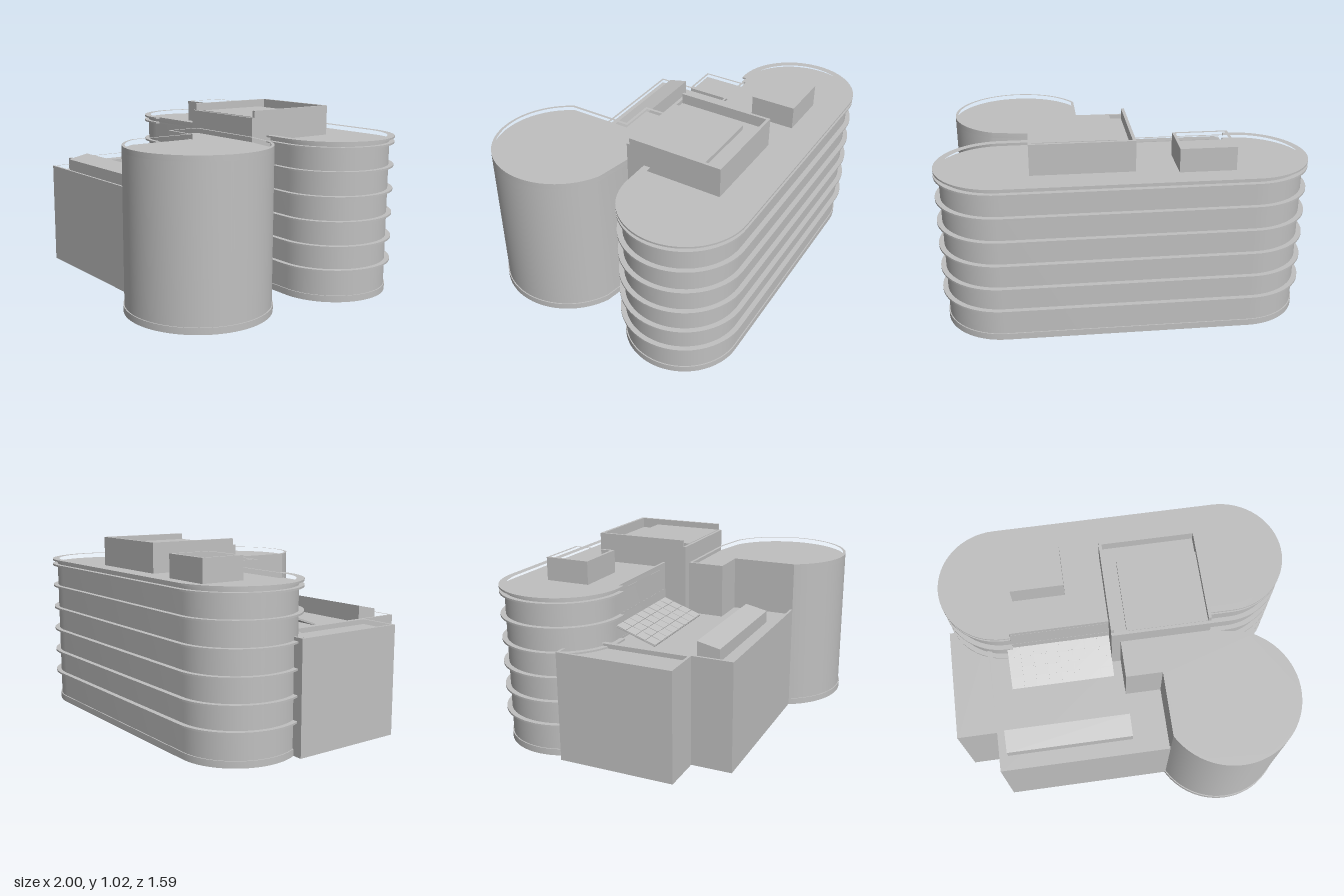
import * as THREE from 'three';
import { toCreasedNormals } from 'three/addons/utils/BufferGeometryUtils.js';

export function createModel() {
  const model = new THREE.Group();
  model.name = 'officeBuilding';
  const concrete = new THREE.MeshStandardMaterial({ color: 0xc0c0c0 });
  concrete.name = 'concrete grey';

  function add(name, geometry, parent = model) {
    const mesh = new THREE.Mesh(geometry, concrete);
    mesh.name = name;
    parent.add(mesh);
    return mesh;
  }

  // Upright prism from a plan outline of [x, z] points, with an optional hole
  function prism(name, outline, y0, y1, hole) {
    const toPlan = (pts) => pts.map(([x, z]) => new THREE.Vector2(x, -z));
    const shape = new THREE.Shape(toPlan(outline));
    if (hole) shape.holes.push(new THREE.Path(toPlan(hole)));
    const geo = new THREE.ExtrudeGeometry(shape, { depth: y1 - y0, bevelEnabled: false });
    geo.rotateX(-Math.PI / 2).translate(0, y0, 0);
    return add(name, toCreasedNormals(geo, 0.5));
  }

  // Solid block topped by a parapet around a sunken roof
  function tray(name, outline, inner, y0, roofY, topY) {
    prism(name + 'Walls', outline, y0, roofY);
    prism(name + 'Parapet', outline, roofY, topY, inner);
  }

  const rect = (x0, x1, z0, z1, t = 0) =>
    [[x0 + t, z0 + t], [x1 - t, z0 + t], [x1 - t, z1 - t], [x0 + t, z1 - t]];

  function arc(cx, cz, r, a0, a1, n = 32) {
    return Array.from({ length: n + 1 }, (_, i) => {
      const a = a0 + (a1 - a0) * i / n;
      return [cx + r * Math.cos(a), cz + r * Math.sin(a)];
    });
  }

  // Rounded slab plan
  const H = Math.PI / 2, CZ = -0.45, CX = 0.655;
  const stadium = (r) => [...arc(CX, CZ, r, -H, H), ...arc(-CX, CZ, r, H, 3 * H)];
  // Ledge plan, cut back along the front where the lower wing and tower meet it
  const ledge = (r) => [
    ...arc(CX, CZ, r, -H, H), [0.48, CZ + r], [0.48, -0.132], [-0.62, -0.132], [-0.62, CZ + r],
    ...arc(-CX, CZ, r, H, 3 * H),
  ];

  // Long rounded slab with its storey ledges
  prism('slabWalls', stadium(0.317), 0, 0.85);
  prism('slabPlinth', stadium(0.323), 0, 0.036);
  for (const y of [0.18, 0.312, 0.447, 0.582, 0.716, 0.845]) {
    prism('storeyLedge', ledge(0.345), y - 0.005, y + 0.005, y > 0.84 ? stadium(0.305) : undefined);
  }
  prism('slabParapet', stadium(0.317), 0.85, 0.88, stadium(0.305));
  prism('roofLedge', ledge(0.345), 0.87, 0.88, stadium(0.305));

  // Round front wing, with a short square shoulder beside the tower
  function roundWing(t) {
    const r = 0.39 - t;
    const a1 = Math.PI - Math.acos((0.345 - t) / r);
    return [
      [-0.006 + t, t], [0.5, t],
      ...arc(0.545, 0.395, r, -1.164, a1, 56),
      [0.2 + t, 0.21 - t], [-0.006 + t, 0.21 - t],
    ];
  }
  tray('roundWing', roundWing(0), roundWing(0.016), 0, 0.85, 0.88);
  prism('roundWingPlinth', roundWing(-0.006), 0, 0.036);

  // Low front wing and its side bay
  tray('frontWing', rect(-0.768, 0.22, -0.2, 0.577), rect(-0.768, 0.22, -0.2, 0.577, 0.014), 0, 0.575, 0.605);
  tray('sideBay', rect(-0.996, -0.768, -0.3, 0.35), rect(-0.996, -0.768, -0.3, 0.35, 0.014), 0, 0.575, 0.605);

  // Stair tower: high parapet on three sides, low one at the front
  const X0 = -0.057, X1 = 0.5, Z0 = -0.562, T = 0.017;
  prism('towerWalls', rect(X0, X1, Z0, 0), 0, 0.96);
  prism('towerPlinth', rect(X0, X1 + 0.004, Z0, 0), 0, 0.04);
  prism('towerFrontParapet', rect(X0, X1, -T, 0), 0.96, 0.982);
  prism('towerParapet', [
    [X0, -T], [X0, Z0], [X1, Z0], [X1, -T],
    [X1 - T, -T], [X1 - T, Z0 + T], [X0 + T, Z0 + T], [X0 + T, -T],
  ], 0.96, 1.02);
  prism('towerRoofDeck', rect(0.03, X1 - T, -0.442, -T), 0.96, 0.985);

  // Small open plant enclosure on the slab roof
  prism('plantEnclosure', rect(-0.585, -0.282, -0.6, -0.343), 0.85, 0.98,
    rect(-0.585, -0.282, -0.6, -0.343, 0.017));

  // Sloping skylight on the front wing
  const wedge = new THREE.Shape([[-0.36, 0.57], [-0.36, 0.67], [-0.485, 0.643], [-0.485, 0.57]]
    .map(([x, y]) => new THREE.Vector2(x, y)));
  const skylight = new THREE.ExtrudeGeometry(wedge, { depth: 0.717, bevelEnabled: false });
  skylight.rotateY(H).translate(-0.72, 0, 0);
  add('skylight', skylight);

  // Tilted solar array
  const solar = new THREE.Group();
  solar.name = 'solarArray';
  solar.position.set(-0.358, 0.622, -0.022);
  solar.rotation.x = Math.atan2(0.08, 0.23);
  model.add(solar);
  add('solarBacking', new THREE.BoxGeometry(0.6, 0.006, 0.243), solar);
  const cols = 8, rows = 4, w = 0.6 / cols, d = 0.243 / rows;
  for (let i = 0; i < cols; i++) {
    for (let j = 0; j < rows; j++) {
      add('solarPanel', new THREE.BoxGeometry(w - 0.004, 0.006, d - 0.004), solar)
        .position.set((i - (cols - 1) / 2) * w, 0.004, (j - (rows - 1) / 2) * d);
    }
  }

  return model;
}
